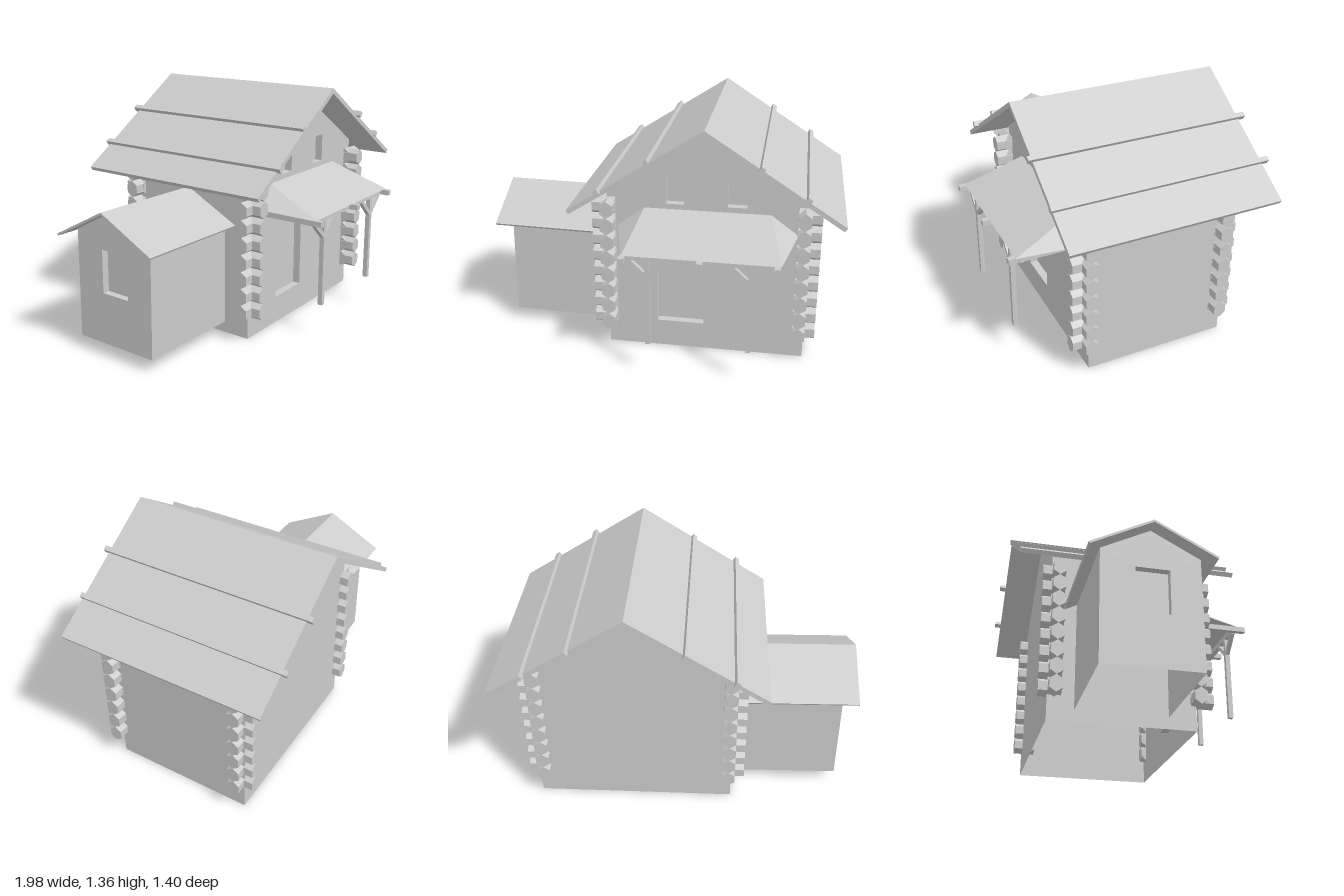
import * as THREE from 'three';

const mat = new THREE.MeshStandardMaterial({ color: 0xcccccc, flatShading: true, side: THREE.DoubleSide });

function add(parent, name, geometry, x = 0, y = 0, z = 0) {
  const mesh = new THREE.Mesh(geometry, mat);
  mesh.name = name;
  mesh.position.set(x, y, z);
  parent.add(mesh);
  return mesh;
}

function group(parent, name) {
  const g = new THREE.Group();
  g.name = name;
  parent.add(g);
  return g;
}

const polygon = (pts) => new THREE.Shape(pts.map(([x, y]) => new THREE.Vector2(x, y)));

// Flat faces from corner loops (triangles or quads, counter-clockwise)
function faces(loops) {
  const pos = [];
  for (const l of loops) {
    for (let i = 1; i < l.length - 1; i++) pos.push(...l[0], ...l[i], ...l[i + 1]);
  }
  const g = new THREE.BufferGeometry();
  g.setAttribute('position', new THREE.Float32BufferAttribute(pos, 3));
  g.computeVertexNormals();
  return g;
}

// Gabled walls, open underneath, with recessed openings [x0, x1, y0, y1] in the front
function gabledWalls(parent, name, { half, base, eave, peak, back, front, openings, closedBack, recess }) {
  const outline = [[-half, base], [half, base], [half, eave], [0, peak], [-half, eave]];
  const gable = polygon(outline);
  for (const [x0, x1, y0, y1] of openings) {
    gable.holes.push(new THREE.Path(polygon([[x0, y0], [x0, y1], [x1, y1], [x1, y0]]).getPoints()));
    const a = front, b = front - recess;
    add(parent, name + 'Recess', faces([
      [[x0, y0, b], [x1, y0, b], [x1, y1, b], [x0, y1, b]],
      [[x0, y0, a], [x0, y0, b], [x0, y1, b], [x0, y1, a]],
      [[x1, y0, b], [x1, y0, a], [x1, y1, a], [x1, y1, b]],
      [[x0, y0, a], [x1, y0, a], [x1, y0, b], [x0, y0, b]],
      [[x0, y1, b], [x1, y1, b], [x1, y1, a], [x0, y1, a]],
    ]));
  }
  add(parent, name + 'FrontWall', new THREE.ShapeGeometry(gable), 0, 0, front);
  if (closedBack) {
    add(parent, name + 'BackWall', new THREE.ShapeGeometry(polygon(outline)), 0, 0, -back).rotation.y = Math.PI;
  }
  add(parent, name + 'SideWalls', faces([
    [[half, base, front], [half, base, back], [half, eave, back], [half, eave, front]],
    [[-half, base, back], [-half, base, front], [-half, eave, front], [-half, eave, back]],
  ]));
  if (closedBack) parent.children.find((m) => m.name === name + 'BackWall').position.z = back;
}

// Two-sided roof slab with ends cut square to the slope
function gableRoof(parent, name, half, eave, peak, thick, z0, z1) {
  const a = Math.atan2(peak - eave, half);
  const dx = thick * Math.sin(a), dy = thick * Math.cos(a);
  const shape = polygon([
    [-half, eave], [-half + dx, eave - dy], [0, peak - thick / Math.cos(a)],
    [half - dx, eave - dy], [half, eave], [0, peak],
  ]);
  add(parent, name, new THREE.ExtrudeGeometry(shape, { depth: z1 - z0, bevelEnabled: false }), 0, 0, z0);
}

export function createModel() {
  const model = new THREE.Group();
  model.name = 'logHouse';

  // Main house
  const house = group(model, 'mainHouse');
  house.position.x = 0.265;
  gabledWalls(house, 'house', {
    half: 0.555, base: 0, eave: 0.96, peak: 1.31, back: -0.48, front: 0.33, closedBack: true, recess: 0.045,
    openings: [[-0.275, -0.01, 0.16, 0.635], [-0.225, -0.125, 0.885, 1.045], [0.11, 0.215, 0.885, 1.045]],
  });
  gableRoof(house, 'mainRoof', 0.735, 0.885, 1.358, 0.025, -0.67, 0.515);

  // Poles lying on the roof: offset from ridge, back end, front end
  const slope = 0.473 / 0.735;
  for (const [x, z0, z1] of [[-0.56, -0.69, 0.54], [-0.3, -0.7, 0.515], [0.295, -0.705, 0.54], [0.535, -0.705, 0.525]]) {
    const pole = add(house, 'roofPole', new THREE.BoxGeometry(0.027, 0.03, z1 - z0),
      x, 1.365 - slope * Math.abs(x), (z0 + z1) / 2);
    pole.rotation.z = -Math.sign(x) * Math.atan(slope);
  }

  // Crossed hexagonal log ends at the four corners
  const pitch = 0.0975, logs = group(model, 'cornerLogs');
  const hex = new THREE.CylinderGeometry(pitch / 2, pitch / 2, 0.125, 6);
  hex.rotateX(Math.PI / 2);
  hex.scale(0.072 / 0.0844, 1, 1);
  // Point of the hexagon faces up
  for (const [x, sx] of [[-0.275, -1], [0.79, 1]]) {
    for (const [z, sz] of [[0.337, 1], [-0.443, -1]]) {
      for (let i = 0; i < 8; i++) {
        const y = 0.13 + pitch * (i + 0.5);
        add(logs, 'lengthwiseLog', hex, x, y, z + sz * 0.0245);
        add(logs, 'crosswiseLog', hex, x + sx * 0.0285, y, z).rotation.y = Math.PI / 2;
      }
    }
  }

  // Side annex, leaning very slightly
  const lean = group(model, 'annex');
  lean.rotation.z = -0.016;
  const annex = group(lean, 'annexBody');
  annex.rotation.y = -Math.PI / 2;
  annex.position.z = -0.08;
  gabledWalls(annex, 'annex', {
    half: 0.255, base: 0.06, eave: 0.666, peak: 0.8, back: 0.285, front: 0.91, closedBack: false, recess: 0.04,
    openings: [[-0.08, 0.095, 0.345, 0.585]],
  });
  gableRoof(annex, 'annexRoof', 0.325, 0.645, 0.815, 0.012, 0.285, 0.99);

  // Porch roof with hipped ends
  const porch = group(model, 'porch');
  const A = [-0.14, 0.716, 0.665], B = [0.685, 0.716, 0.665], C = [0.61, 0.855, 0.33];
  const D = [-0.08, 0.855, 0.33], E = [-0.23, 0.745, 0.33], F = [0.76, 0.745, 0.33];
  add(porch, 'porchRoof', faces([[A, B, C, D], [E, A, D], [B, F, C], [E, F, B, A]]));

  // Porch frame
  add(porch, 'porchBeam', new THREE.BoxGeometry(0.83, 0.03, 0.027), 0.27, 0.7, 0.633);
  for (const x of [-0.135, 0.27, 0.665]) {
    add(porch, 'porchRafter', new THREE.BoxGeometry(0.03, 0.03, 0.37), x, 0.7, 0.515);
  }
  for (const x of [-0.008, 0.532]) {
    add(porch, 'porchPost', new THREE.BoxGeometry(0.026, 0.5, 0.027), x, 0.44, 0.633);
    for (const s of [-1, 1]) {
      const brace = add(porch, 'porchBrace', new THREE.BoxGeometry(0.145, 0.022, 0.024), x + s * 0.055, 0.64, 0.633);
      brace.rotation.z = s * 0.75;
    }
  }
  return model;
}
